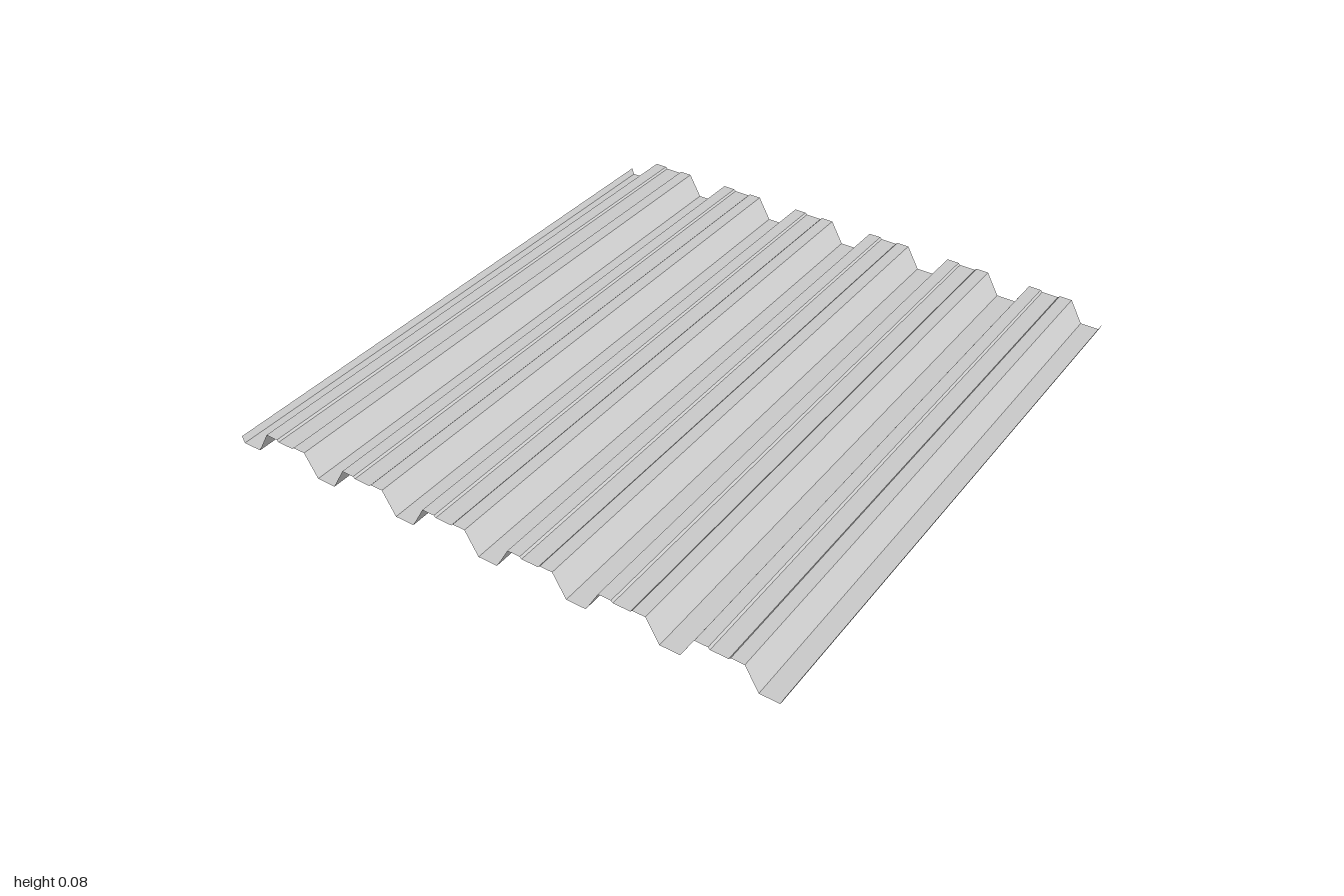
import * as THREE from 'three';

const PITCH = 0.303, RIBS = 6, HEIGHT = 0.076, DIP = 0.07, LENGTH = 2;

// One trapezoidal rib with a shallow stiffening groove on its crest
const RIB = [
  [-0.119, 0], [-0.076, HEIGHT], [-0.034, HEIGHT], [-0.028, DIP],
  [0.028, DIP], [0.034, HEIGHT], [0.076, HEIGHT], [0.119, 0],
];

// Cross-section from left to right, with a small upturned lip at each edge
function sheetProfile() {
  const points = [[-0.948, 0.022], [-0.94, 0]];
  for (let i = 0; i < RIBS; i++) {
    const cx = (i - (RIBS - 1) / 2) * PITCH;
    for (const [x, y] of RIB) points.push([cx + x, y]);
  }
  points.push([0.94, 0], [0.948, 0.022]);
  return points;
}

// Sweep the profile along z as an open sheet facing up
function sweepSheet(profile) {
  const geometry = new THREE.PlaneGeometry(1, LENGTH, profile.length - 1, 1);
  geometry.rotateX(-Math.PI / 2);
  const position = geometry.attributes.position;
  for (let i = 0; i < position.count; i++) {
    const [x, y] = profile[i % profile.length];
    position.setX(i, x);
    position.setY(i, y);
  }
  const flat = geometry.toNonIndexed();
  flat.computeVertexNormals();
  return flat;
}

export function createModel() {
  const group = new THREE.Group();
  group.name = 'corrugatedRoofPanel';
  const material = new THREE.MeshStandardMaterial({
    color: 0xcccccc, flatShading: true, side: THREE.DoubleSide,
  });
  const sheet = new THREE.Mesh(sweepSheet(sheetProfile()), material);
  sheet.name = 'corrugatedSheet';
  group.add(sheet);
  return group;
}
